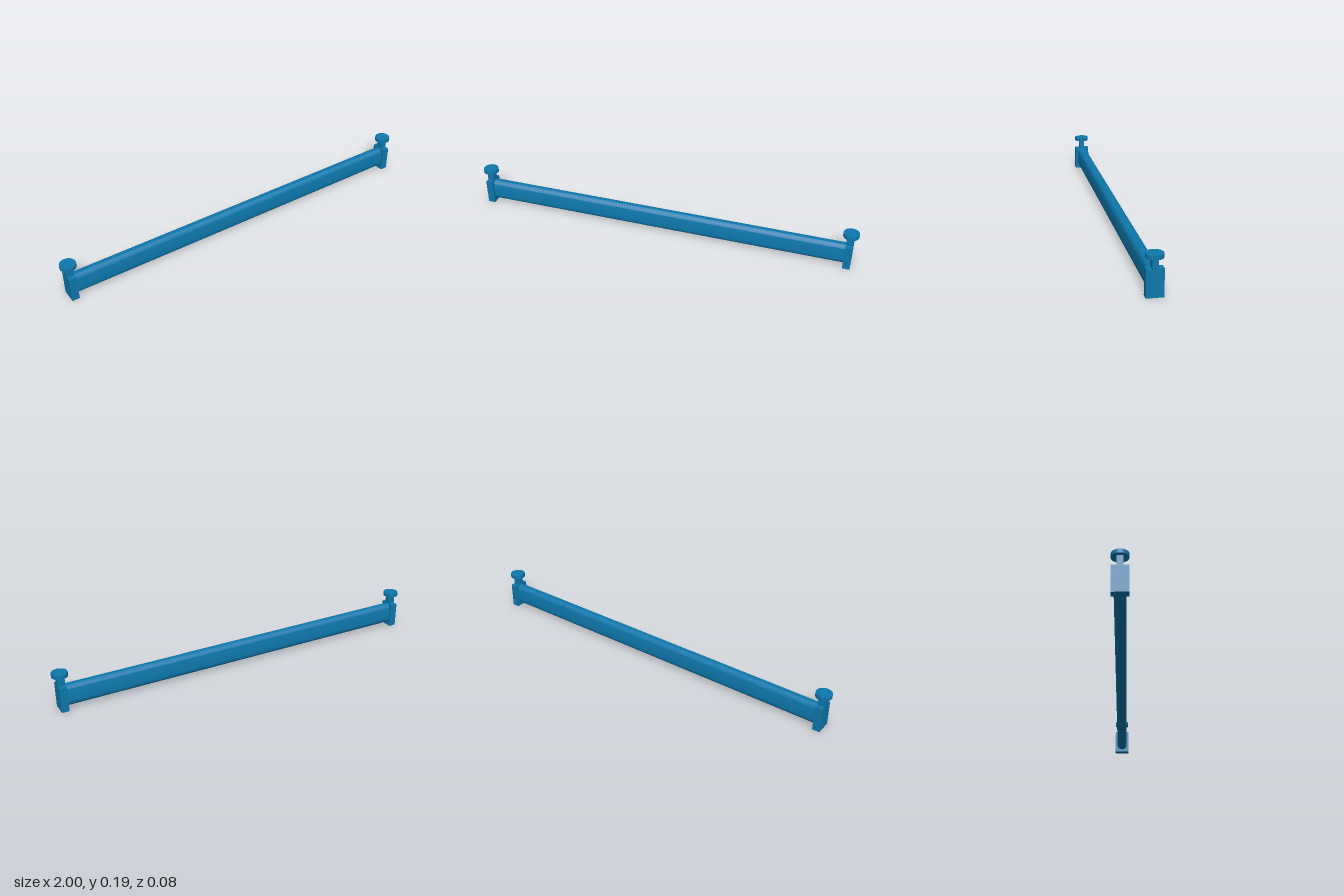
import * as THREE from 'three';
import { toCreasedNormals } from 'three/addons/utils/BufferGeometryUtils.js';

export function createModel() {
  const group = new THREE.Group();
  group.name = 'rail';
  const material = new THREE.MeshStandardMaterial({ color: 0x0d78ad });

  const add = (parent, name, geometry, x, y, z = 0) => {
    const mesh = new THREE.Mesh(geometry, material);
    mesh.name = name;
    mesh.position.set(x, y, z);
    parent.add(mesh);
  };

  // Long bar with a tall, round-ended cross-section
  const length = 1.89, radius = 0.027, low = 0.042, high = 0.1;
  const section = new THREE.Shape();
  section.absarc(0, high, radius, 0, Math.PI, false);
  section.absarc(0, low, radius, Math.PI, Math.PI * 2, false);
  section.closePath();
  const bar = new THREE.ExtrudeGeometry(section, {
    depth: length, bevelEnabled: false, curveSegments: 16,
  });
  bar.translate(0, 0, -length / 2).rotateY(Math.PI / 2);
  add(group, 'bar', toCreasedNormals(bar, 0.6), 0, 0);

  // End brackets: plate, narrow neck and round cap, mirrored left and right
  for (const [side, name] of [[1, 'leftBracket'], [-1, 'rightBracket']]) {
    const bracket = new THREE.Group();
    bracket.name = name;
    bracket.position.x = side * 0.961;
    add(bracket, 'endPlate', new THREE.BoxGeometry(0.037, 0.128, 0.078), 0, 0.064);
    add(bracket, 'neck', new THREE.BoxGeometry(0.037, 0.05, 0.028), 0, 0.152);
    add(bracket, 'cap', new THREE.CylinderGeometry(0.039, 0.039, 0.019, 40), 0, 0.184);
    group.add(bracket);
  }
  return group;
}
